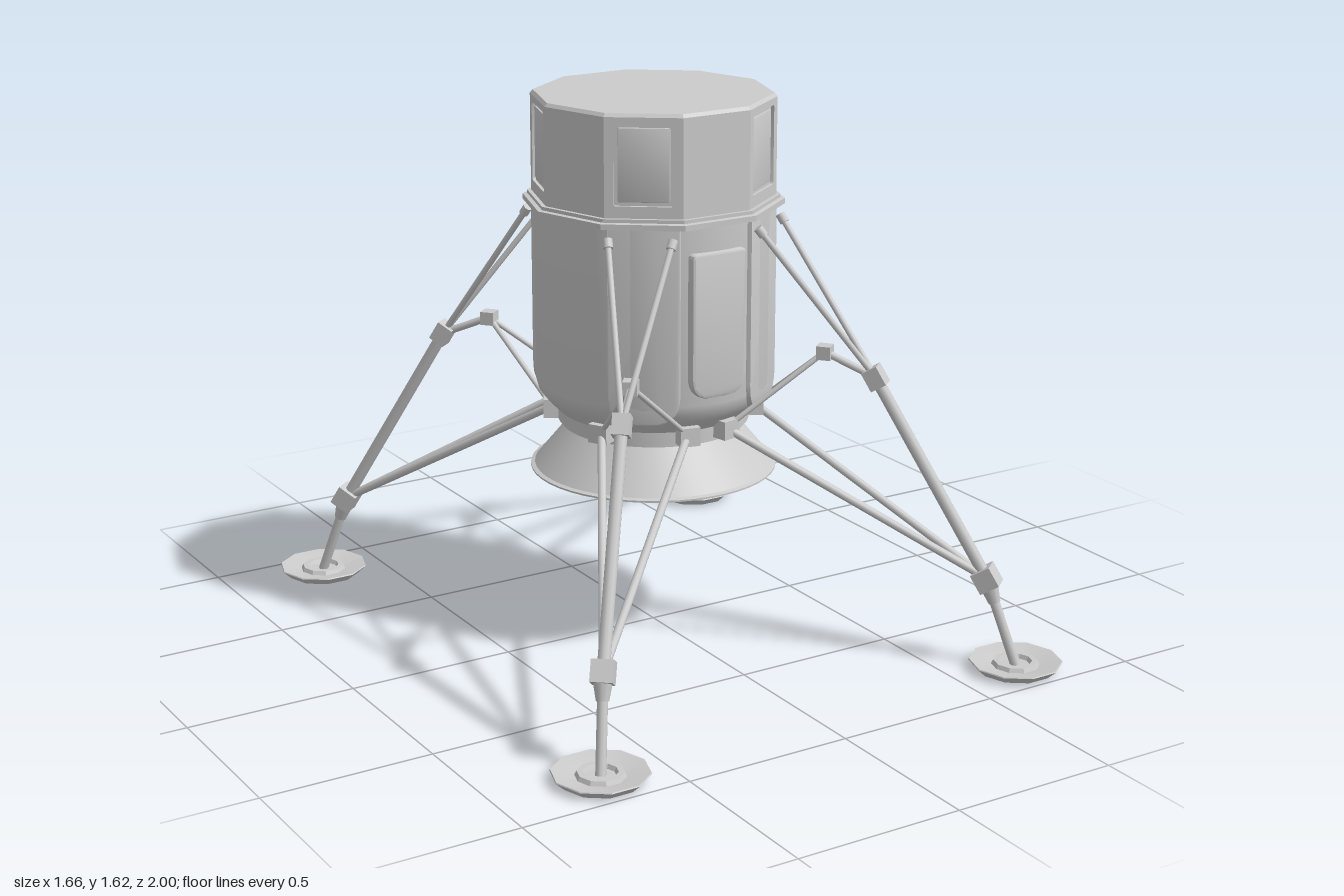
import * as THREE from 'three';
import { toCreasedNormals } from 'three/addons/utils/BufferGeometryUtils.js';

const material = new THREE.MeshStandardMaterial({ color: 0xcccccc });
const openMaterial = new THREE.MeshStandardMaterial({ color: 0xcccccc, side: THREE.DoubleSide });
const V = (x, y, z) => new THREE.Vector3(x, y, z);
const UP = V(0, 1, 0);
const STEP = Math.PI / 5; // one face of the ten-sided hull

function add(parent, name, geometry, mat = material) {
  const mesh = new THREE.Mesh(geometry, mat);
  mesh.name = name;
  parent.add(mesh);
  return mesh;
}

// Turned part; ten-sided ones have a flat face to the front
function turned(profile, sides) {
  const points = profile.map(([r, y]) => new THREE.Vector2(r, y));
  const crease = sides > 10 ? 0.5 : 0.3;
  return toCreasedNormals(new THREE.LatheGeometry(points, sides, STEP / 2), crease);
}

// Rectangle with separate corner radii at the bottom and top
function roundedRect(w, y0, y1, rb, rt, Type = THREE.Shape) {
  const s = new Type();
  s.moveTo(-w + rb, y0);
  s.lineTo(w - rb, y0);
  s.quadraticCurveTo(w, y0, w, y0 + rb);
  s.lineTo(w, y1 - rt);
  s.quadraticCurveTo(w, y1, w - rt, y1);
  s.lineTo(-w + rt, y1);
  s.quadraticCurveTo(-w, y1, -w, y1 - rt);
  s.lineTo(-w, y0 + rb);
  s.quadraticCurveTo(-w, y0, -w + rb, y0);
  return s;
}

// Plate facing outward at an angle around the hull, outer face at the given distance
function plate(parent, name, shape, angle, distance, depth, bevel) {
  const g = new THREE.ExtrudeGeometry(shape, {
    depth, bevelEnabled: bevel > 0, bevelThickness: bevel, bevelSize: bevel,
    bevelOffset: -bevel, bevelSegments: 2, curveSegments: 8,
  });
  g.translate(0, 0, distance - depth - bevel);
  g.rotateY(angle);
  return add(parent, name, toCreasedNormals(g, 0.6));
}

// Round bar between two points
function rod(parent, name, a, b, r0, r1 = r0) {
  const mesh = add(parent, name, new THREE.CylinderGeometry(r1, r0, a.distanceTo(b), 10));
  mesh.position.copy(a).lerp(b, 0.5);
  mesh.quaternion.setFromUnitVectors(UP, b.clone().sub(a).normalize());
  return mesh;
}

// Block turned to the angle of its leg, then tilted along a direction
function block(parent, name, at, size, yaw, along = UP) {
  const mesh = add(parent, name, new THREE.BoxGeometry(...size));
  mesh.position.copy(at);
  mesh.quaternion.setFromUnitVectors(UP, along.clone().normalize())
    .multiply(new THREE.Quaternion().setFromAxisAngle(UP, yaw));
  return mesh;
}

function buildCabin() {
  const cabin = new THREE.Group();
  cabin.name = 'cabin';
  const R = 0.355, apothem = R * Math.cos(STEP / 2), inset = 0.01;
  const half = R * Math.sin(STEP / 2), y0 = 1.32, y1 = 1.61;
  add(cabin, 'cabinCore', turned([[R - inset, y0], [R - inset, y1]], 10));
  add(cabin, 'roof', turned([[R, y1], [R - 0.008, 1.62], [0, 1.62]], 10));
  // Walls: every second face has a recessed window
  for (let i = 0; i < 10; i++) {
    const wall = roundedRect(half, y0, y1, 0, 0);
    if (i % 2) {
      wall.holes.push(roundedRect(0.083, 1.36, 1.59, 0.008, 0.008, THREE.Path));
    }
    plate(cabin, i % 2 ? 'windowWall' : 'wall', wall, i * STEP, apothem, inset, 0);
    if (i % 2) {
      plate(cabin, 'windowPane', roundedRect(0.073, 1.37, 1.58, 0.006, 0.006),
        i * STEP, apothem - 0.005, 0.003, 0.003);
    }
  }
  // Stepped flange under the cabin
  add(cabin, 'flange', turned([
    [0.33, 1.298], [0.38, 1.298], [0.38, 1.314], [0.367, 1.316],
    [0.367, 1.326], [0.34, 1.326],
  ], 10));
  return cabin;
}

function buildHull() {
  const hull = new THREE.Group();
  hull.name = 'hull';
  add(hull, 'barrel', turned([
    [0.24, 0.638], [0.272, 0.638], [0.272, 0.648], [0.282, 0.65], [0.282, 0.685],
    [0.318, 0.722], [0.338, 0.748], [0.346, 0.778], [0.346, 1.3],
  ], 60), openMaterial);
  // Flat plates behind the legs
  for (const i of [1, 4, 6, 9]) {
    plate(hull, 'legPlate', roundedRect(0.103, 0.725, 1.3, 0.085, 0), i * STEP, 0.344, 0.045, 0.005);
  }
  // Raised hatches on the front and back
  for (const i of [0, 5]) {
    plate(hull, 'hatch', roundedRect(0.09, 0.8, 1.225, 0.065, 0.015), i * STEP, 0.36, 0.03, 0.008);
  }
  // Flared skirt, hollow below, with the engine recess inside
  add(hull, 'engineSkirt', turned([
    [0, 0.672], [0.125, 0.665], [0.25, 0.6], [0.355, 0.503], [0.364, 0.503],
    [0.364, 0.508], [0.352, 0.512], [0.245, 0.642],
  ], 48), openMaterial);
  return hull;
}

function buildLeg(sx, sz) {
  const leg = new THREE.Group();
  leg.name = 'leg';
  const p = (x, y, z) => V(x * sx, y, z * sz);
  const yaw = Math.atan2(0.7 * sx, 0.85 * sz);
  const foot = p(0.695, 0.012, 0.871), knee = p(0.64, 0.265, 0.793);
  const collar = p(0.422, 0.835, 0.527), elbow = p(0.325, 0.897, 0.412);
  const thigh = collar.clone().sub(knee).normalize();

  // Dished foot pad with a raised ring
  const pad = add(leg, 'footPad', turned([
    [0, 0], [0.11, 0], [0.136, 0.024], [0.134, 0.027], [0.07, 0.014],
    [0.064, 0.026], [0.048, 0.026], [0.042, 0.014], [0, 0.014],
  ], 10));
  pad.position.set(foot.x, 0, foot.z);

  // Main strut with its joints
  rod(leg, 'lowerStrut', foot, knee, 0.015);
  rod(leg, 'kneeSleeve', knee.clone().lerp(foot, 0.28), knee, 0.018, 0.032);
  rod(leg, 'upperStrut', knee, collar, 0.018);
  block(leg, 'kneeJoint', knee, [0.062, 0.062, 0.062], yaw, thigh);
  block(leg, 'strutCollar', collar, [0.05, 0.06, 0.05], yaw, thigh);
  block(leg, 'elbowJoint', elbow, [0.042, 0.04, 0.042], yaw);
  rod(leg, 'elbowLink', collar, elbow, 0.011);

  // Paired braces to either side of the hull plate
  const tops = [p(0.14, 1.27, 0.335), p(0.288, 1.27, 0.228)];
  const mounts = [p(0.065, 0.68, 0.295), p(0.262, 0.68, 0.145)];
  for (let i = 0; i < 2; i++) {
    rod(leg, 'topBrace', collar, tops[i], 0.009);
    rod(leg, 'topBraceEnd', tops[i], tops[i].clone().lerp(collar, 0.05), 0.014);
    rod(leg, 'lowerBrace', knee, mounts[i], 0.012);
    rod(leg, 'elbowBrace', elbow, mounts[i], 0.008);
    block(leg, 'braceMount', mounts[i], [0.06, 0.055, 0.05],
      Math.atan2(mounts[i].x, mounts[i].z));
  }
  return leg;
}

export function createModel() {
  const model = new THREE.Group();
  model.name = 'lander';
  model.add(buildCabin(), buildHull());
  for (const sx of [1, -1]) for (const sz of [1, -1]) model.add(buildLeg(sx, sz));
  return model;
}
